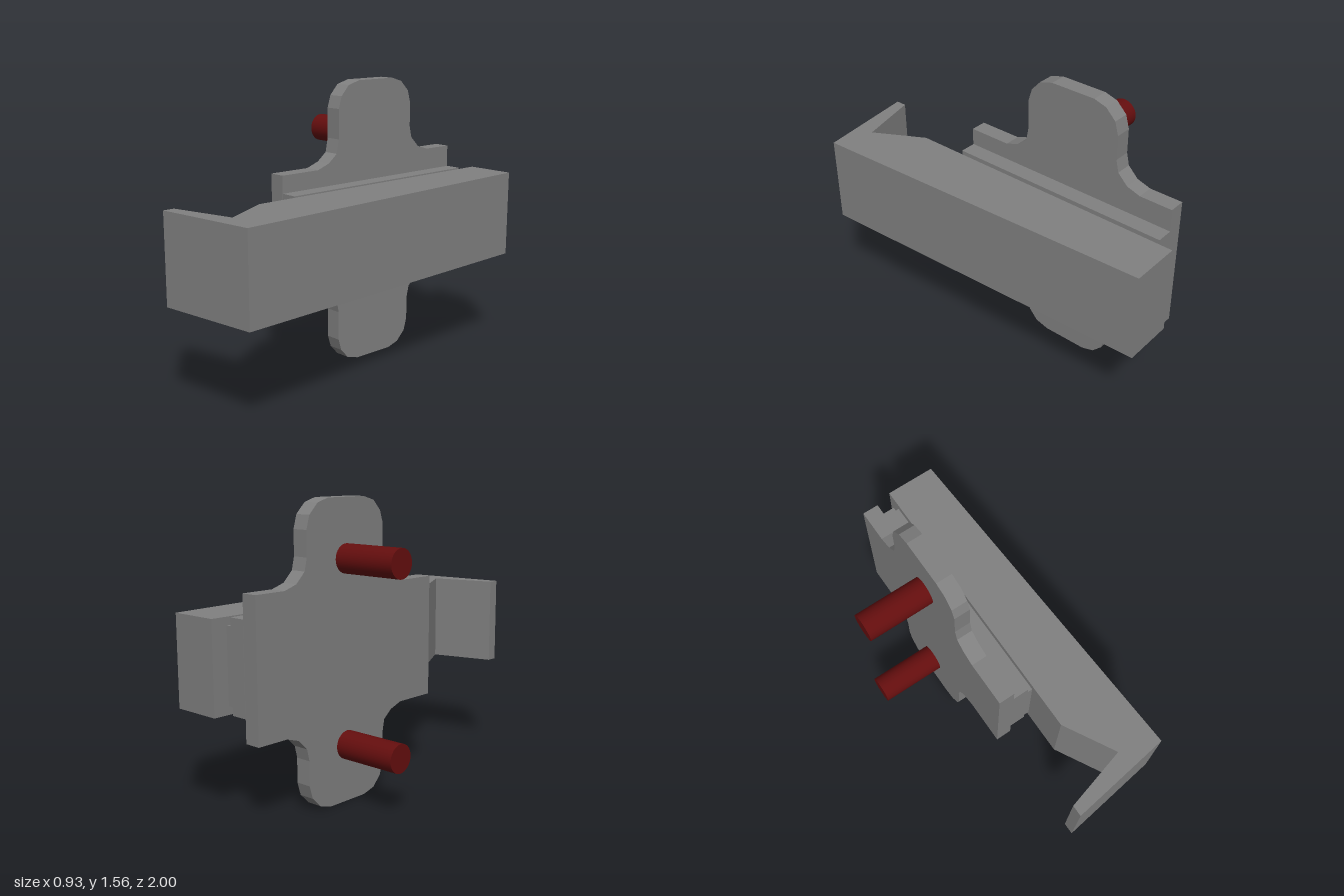
import * as THREE from 'three';

const grey = new THREE.MeshStandardMaterial({ color: 0x808080 });
grey.name = 'grey';
const darkRed = new THREE.MeshStandardMaterial({ color: 0x640e0e });
darkRed.name = 'dark red';

const MID_Y = 0.778;

function extrude(points, depth) {
  const shape = new THREE.Shape(points.map(([a, b]) => new THREE.Vector2(a, b)));
  return new THREE.ExtrudeGeometry(shape, { depth, bevelEnabled: false });
}

export function createModel() {
  const model = new THREE.Group();
  const add = (name, geometry, material) => {
    const mesh = new THREE.Mesh(geometry, material);
    mesh.name = name;
    model.add(mesh);
    return mesh;
  };

  // Mounting plate: upper outline as (z, height above middle), mirrored below
  const upper = [
    [0.34, 0.33], [0.1, 0.33], [0.025, 0.357], [-0.03, 0.402], [-0.045, 0.477],
    [-0.045, 0.637], [-0.065, 0.702], [-0.115, 0.757], [-0.19, 0.778],
    [-0.44, 0.778], [-0.51, 0.757], [-0.565, 0.702], [-0.585, 0.632],
    [-0.585, 0.502], [-0.6, 0.437], [-0.655, 0.382], [-0.73, 0.358], [-0.91, 0.358],
  ];
  const lower = upper.map(([z, h]) => [z, -h]).reverse();
  const outline = [...upper, ...lower].map(([z, h]) => [-z, MID_Y + h]);
  const plate = extrude(outline, 0.088);
  plate.rotateY(Math.PI / 2);
  add('mountingPlate', plate, grey).position.x = -0.106;

  // Rail block and the narrower neck joining it to the arm
  add('railBlock', new THREE.BoxGeometry(0.09, 0.474, 1.25), grey)
    .position.set(0.027, MID_Y, -0.287);
  add('railNeck', new THREE.BoxGeometry(0.03, 0.39, 1.25), grey)
    .position.set(0.087, MID_Y, -0.287);

  // Tapered arm with a hooked front end, outline as (x, z)
  const armOutline = [
    [0.1, -1], [0.37, -1], [0.46, 0.925], [-0.09, 1],
    [-0.09, 0.94], [0.25, 0.85], [0.1, 0.58],
  ];
  const arm = extrude(armOutline.map(([x, z]) => [x, -z]), 0.474);
  arm.rotateX(-Math.PI / 2);
  add('hookedArm', arm, grey).position.y = MID_Y - 0.237;

  // Two round pegs on the back of the plate
  for (const [name, side] of [['upperPeg', 1], ['lowerPeg', -1]]) {
    const peg = new THREE.CylinderGeometry(0.075, 0.075, 0.36, 32);
    peg.rotateZ(Math.PI / 2);
    add(name, peg, darkRed).position.set(-0.285, MID_Y + side * 0.477, -0.315);
  }

  return model;
}
